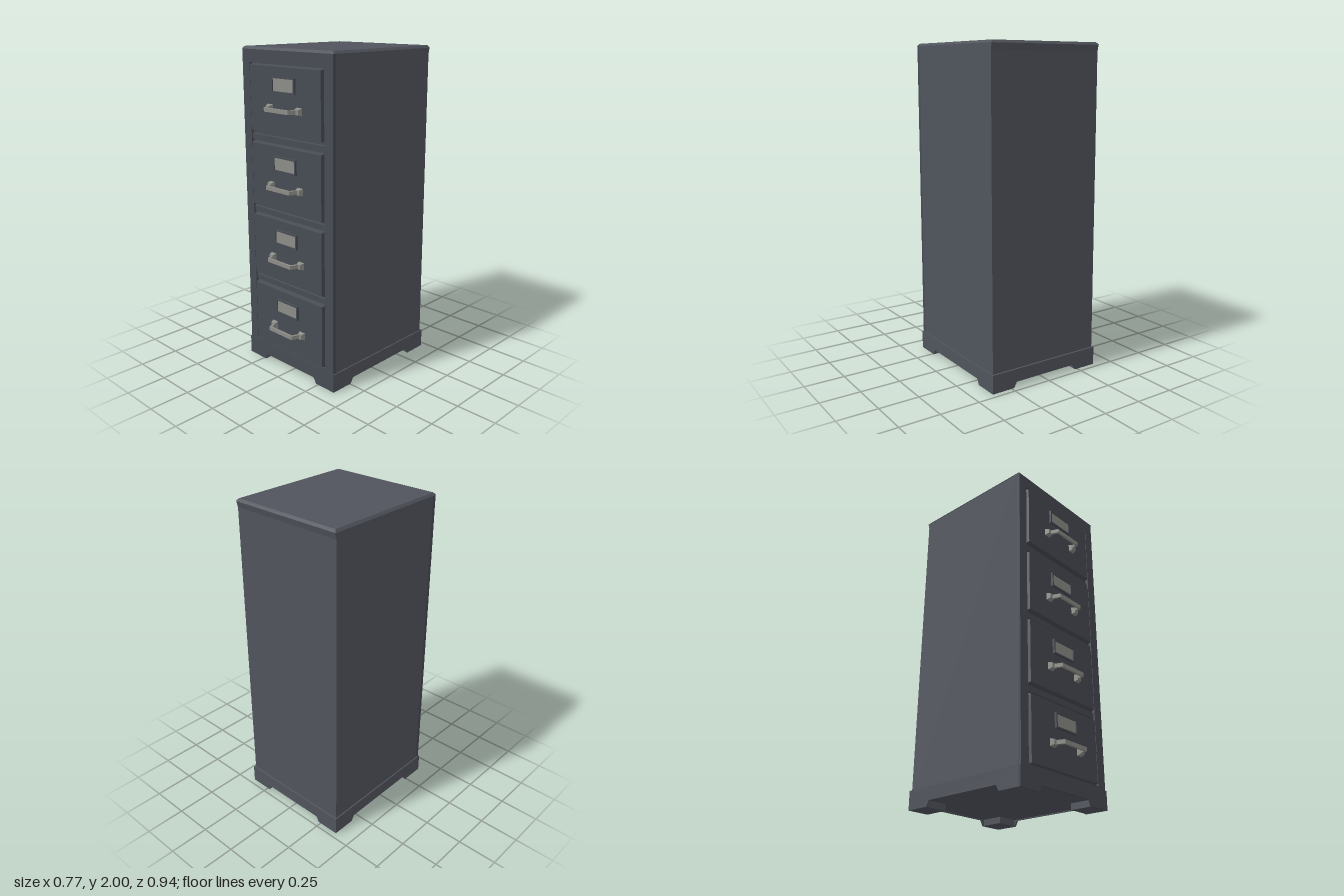
import * as THREE from 'three';

const mat = (name, color) => {
  const m = new THREE.MeshStandardMaterial({ color, flatShading: true });
  m.name = name;
  return m;
};

// Rectangle outline, usable as a shape or a hole
function rect(path, x0, y0, x1, y1) {
  path.moveTo(x0, y0);
  path.lineTo(x1, y0);
  path.lineTo(x1, y1);
  path.lineTo(x0, y1);
  path.closePath();
  return path;
}

// Box whose front (+z) face is inset by a bevel; its back sits on z = 0
function panelGeometry(w, h, d, inset) {
  const g = new THREE.BoxGeometry(w, h, d).translate(0, 0, d / 2);
  const p = g.attributes.position;
  for (let i = 0; i < p.count; i++) {
    if (p.getZ(i) > d / 2) {
      p.setX(i, p.getX(i) - Math.sign(p.getX(i)) * inset);
      p.setY(i, p.getY(i) - Math.sign(p.getY(i)) * inset);
    }
  }
  g.computeVertexNormals();
  return g;
}

export function createModel() {
  const root = new THREE.Group();
  root.name = 'filingCabinet';
  const steel = mat('slate steel', 0x50545c);
  const frontSteel = mat('dark slate front', 0x474b53);
  const metal = mat('grey metal', 0x8c8c87);

  const add = (parent, name, geometry, material, x = 0, y = 0, z = 0) => {
    const mesh = new THREE.Mesh(geometry, material);
    mesh.name = name;
    mesh.position.set(x, y, z);
    parent.add(mesh);
    return mesh;
  };

  // Cabinet shell: box up to the rim, leaning out slightly at the back
  const shell = new THREE.BoxGeometry(0.75, 1.945, 0.82);
  const sp = shell.attributes.position;
  for (let i = 0; i < sp.count; i++) {
    if (sp.getZ(i) < 0 && sp.getY(i) > 0) sp.setZ(i, sp.getZ(i) + 0.012);
  }
  shell.computeVertexNormals();
  add(root, 'cabinetShell', shell, steel, 0, 1.0125, -0.043);

  // Top lid with chamfered upper edges
  const lid = panelGeometry(0.756, 0.84, 0.015, 0.012).rotateX(-Math.PI / 2);
  add(root, 'topLid', lid, steel, 0, 1.985, -0.03);
  // Shallow lip along the upper back edge
  const lip = new THREE.Shape([
    new THREE.Vector2(-0.43, 1.9), new THREE.Vector2(-0.45, 1.985), new THREE.Vector2(-0.43, 1.985),
  ]);
  const lipGeo = new THREE.ExtrudeGeometry(lip, { depth: 0.75, bevelEnabled: false });
  lipGeo.rotateY(-Math.PI / 2).translate(0.375, 0, 0);
  add(root, 'backLip', lipGeo, steel);

  // Front frame with one tall opening
  const frameShape = rect(new THREE.Shape(), -0.375, 0.04, 0.375, 1.985);
  frameShape.holes.push(rect(new THREE.Path(), -0.312, 0.13, 0.308, 1.91));
  const frame = new THREE.ExtrudeGeometry(frameShape, { depth: 0.023, bevelEnabled: false });
  add(root, 'frontFrame', frame, frontSteel, 0, 0, 0.367);
  add(root, 'recessBack', new THREE.BoxGeometry(0.62, 1.78, 0.004), frontSteel, -0.002, 1.02, 0.368);

  // Rails between the drawers
  for (const y of [0.56, 1.013, 1.468]) {
    add(root, 'drawerRail', panelGeometry(0.62, 0.04, 0.014, 0.004), frontSteel, -0.002, y, 0.369);
  }

  // Handle bar outline seen from above (z is drawn as -y before rotation)
  const gripPoints = [
    [-0.128, 0.0], [-0.1, 0.07], [0.1, 0.07], [0.128, 0.0],
    [0.112, 0.0], [0.09, 0.057], [-0.09, 0.057], [-0.112, 0.0],
  ].map(([x, z]) => new THREE.Vector2(x, z));
  const gripGeo = new THREE.ExtrudeGeometry(new THREE.Shape(gripPoints), { depth: 0.024, bevelEnabled: false });
  gripGeo.translate(0, 0, -0.012).rotateX(Math.PI / 2);

  // Label holder: raised frame around a plate
  const holderShape = rect(new THREE.Shape(), -0.097, -0.046, 0.093, 0.046);
  holderShape.holes.push(rect(new THREE.Path(), -0.088, -0.037, 0.084, 0.037));
  const holderGeo = new THREE.ExtrudeGeometry(holderShape, { depth: 0.015, bevelEnabled: false });

  // Four drawers with label and handle
  [0.333, 0.788, 1.241, 1.703].forEach((y) => {
    const drawer = new THREE.Group();
    drawer.name = 'drawer';
    drawer.position.set(-0.004, y, 0);
    root.add(drawer);
    add(drawer, 'drawerFront', panelGeometry(0.606, 0.402, 0.03, 0.008), frontSteel, 0, 0, 0.369);
    add(drawer, 'labelFrame', holderGeo, frontSteel, 0.004, 0.092, 0.398);
    add(drawer, 'labelPlate', new THREE.BoxGeometry(0.174, 0.076, 0.008), metal, 0.002, 0.092, 0.403);
    add(drawer, 'handleGrip', gripGeo, metal, 0.004, -0.046, 0.4);
    for (const side of [-1, 1]) {
      add(drawer, 'handleMount', panelGeometry(0.046, 0.046, 0.026, 0.008), metal, 0.004 + side * 0.122, -0.046, 0.398);
    }
  });

  // Plinth: skirt strips whose ends drop into feet with sloped inner edges
  const skirtGeo = (half, foot) => {
    const pts = [
      [-half, 0], [-half + foot, 0], [-half + foot + 0.02, 0.035], [half - foot - 0.02, 0.035],
      [half - foot, 0], [half, 0], [half, 0.115], [-half, 0.115],
    ].map(([x, y]) => new THREE.Vector2(x, y));
    return new THREE.ExtrudeGeometry(new THREE.Shape(pts), { depth: 0.012, bevelEnabled: false });
  };
  add(root, 'frontSkirt', skirtGeo(0.383, 0.15), frontSteel, 0, 0, 0.381);
  add(root, 'backSkirt', skirtGeo(0.383, 0.15), steel, 0, 0, -0.465);
  for (const side of [-1, 1]) {
    const skirt = add(root, 'sideSkirt', skirtGeo(0.428, 0.15), steel, side * 0.371, 0, -0.036);
    skirt.rotation.y = side * Math.PI / 2;
    // Solid feet behind the skirts
    for (const z of [0.316, -0.388]) {
      add(root, 'foot', new THREE.BoxGeometry(0.145, 0.045, 0.145), steel, side * 0.306, 0.0235, z);
    }
  }
  return root;
}
